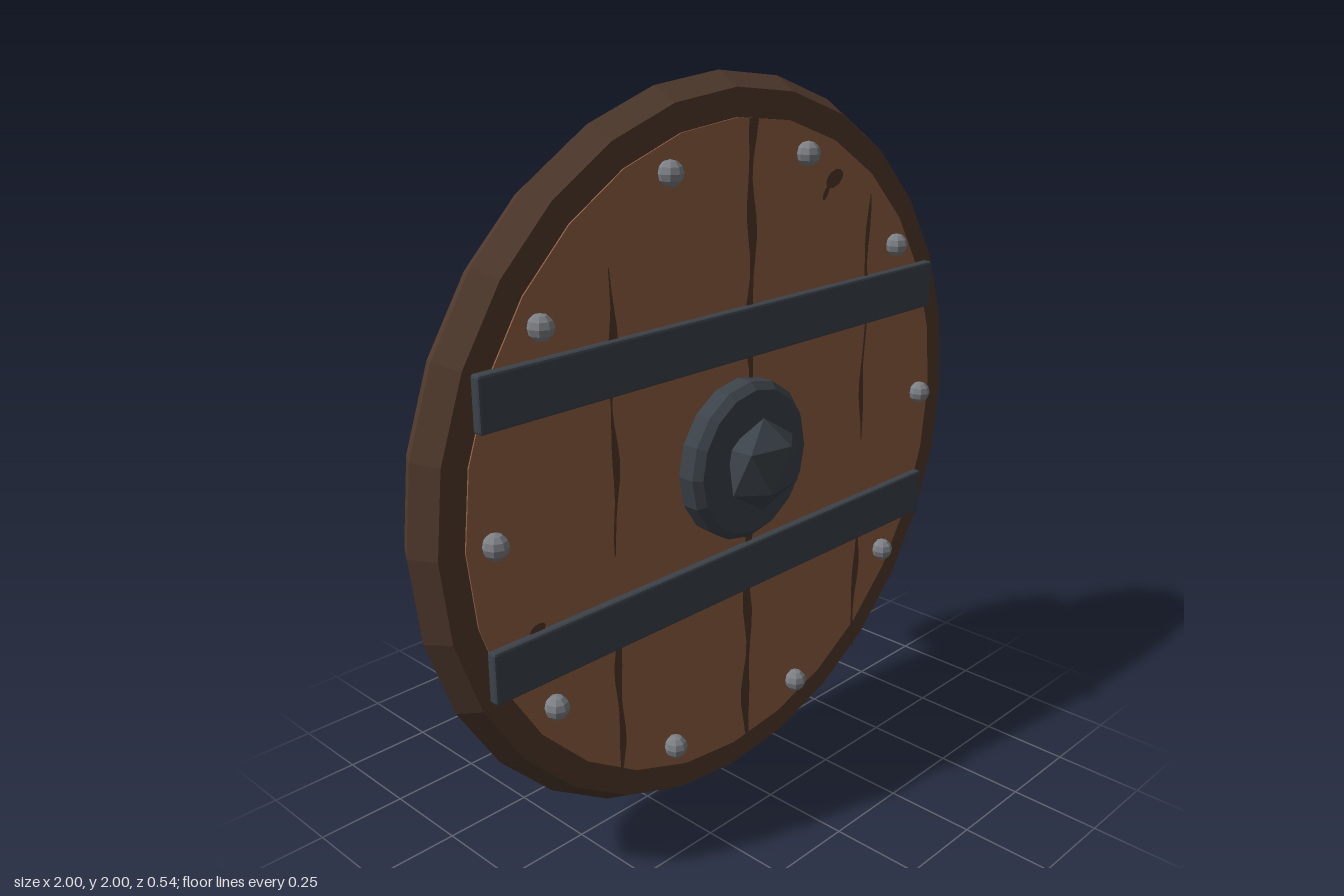
import * as THREE from 'three';
import { RoundedBoxGeometry } from 'three/addons/geometries/RoundedBoxGeometry.js';
import { ConvexGeometry } from 'three/addons/geometries/ConvexGeometry.js';

const mat = (name, color, extra = {}) => {
  const m = new THREE.MeshStandardMaterial({ color, flatShading: true, ...extra });
  m.name = name;
  return m;
};

export function createModel() {
  const wood = mat('wood', 0x905e43);
  const darkWood = mat('dark wood', 0x4f392c);
  const crackPaint = mat('crack brown', 0x4f3628, { side: THREE.DoubleSide });
  const steel = mat('dark steel', 0x3b4249);
  const rivetSteel = mat('rivet steel', 0x7c8085);
  const leather = mat('leather', 0x6a4731);

  const group = new THREE.Group();
  const add = (name, geometry, material, x = 0, y = 0, z = 0) => {
    const mesh = new THREE.Mesh(geometry, material);
    mesh.name = name;
    mesh.position.set(x, y, z);
    group.add(mesh);
    return mesh;
  };
  // Box with a small chamfer, given by its extents
  const box = (name, material, [x0, x1], [y0, y1], [z0, z1], r = 0.01) =>
    add(name, new RoundedBoxGeometry(x1 - x0, y1 - y0, z1 - z0, 1, r), material,
      (x0 + x1) / 2, (y0 + y1) / 2, (z0 + z1) / 2);

  // Board and six-sided rim
  add('board', new THREE.CylinderGeometry(0.89, 0.89, 0.14, 28).rotateX(Math.PI / 2), wood, 0, 1, 0.034);
  add('rim', new THREE.TorusGeometry(0.925, 0.075, 6, 28).rotateZ(Math.PI / 2), darkWood, 0, 1, 0.035);

  // Wavering plank gaps and knots, on both faces
  const crackShape = (x, y0, y1, w, taper) => {
    const left = [], right = [], n = Math.max(6, Math.round((y1 - y0) / 0.05));
    for (let i = 0; i <= n; i++) {
      const t = i / n, y = y0 + (y1 - y0) * t;
      const drift = 0.006 * Math.sin(y * 17 + x * 9);
      const half = (w / 2) * (0.75 + 0.35 * Math.sin(y * 23 + x * 40)) *
        (taper ? 0.15 + 0.85 * Math.sin(Math.PI * t) : 1);
      left.push(new THREE.Vector2(x + drift - half, y));
      right.unshift(new THREE.Vector2(x + drift + half, y));
    }
    return new THREE.Shape([...left, ...right]);
  };
  const knotShape = (x, y, rx, ry, turn) =>
    new THREE.Shape(new THREE.EllipseCurve(x, y, rx, ry, 0, Math.PI * 2, false, turn).getPoints(10).slice(0, 10));
  const marks = [
    crackShape(0.05, 0.12, 1.885, 0.034, false),
    crackShape(-0.44, 1.2, 1.58, 0.03, true),
    crackShape(-0.44, 0.85, 1.29, 0.024, true),
    crackShape(-0.44, 0.2, 0.68, 0.032, true),
    crackShape(0.545, 1.25, 1.64, 0.026, true),
    crackShape(0.545, 0.9, 1.3, 0.022, true),
    crackShape(0.545, 0.21, 0.7, 0.028, true),
    knotShape(0.385, 1.7, 0.038, 0.023, 0.35),
    knotShape(0.35, 1.665, 0.022, 0.009, 1.0),
    knotShape(-0.7, 0.74, 0.025, 0.015, 0.2),
  ];
  add('frontCracks', new THREE.ShapeGeometry(marks), crackPaint, 0, 0, 0.107);
  add('backCracks', new THREE.ShapeGeometry(marks), crackPaint, 0, 0, -0.039);

  // Front straps and back battens
  for (const side of [1, -1]) {
    const span = (a, b) => (side > 0 ? [1 + a, 1 + b] : [1 - b, 1 - a]);
    const where = side > 0 ? 'upper' : 'lower';
    const bottomShift = side > 0 ? 0 : 0.01;
    box(where + 'Strap', steel, [-0.845, 0.845],
      span(0.27 - bottomShift * 0.5, 0.408 - bottomShift * 0.5), [0.085, 0.126], 0.007);
    box(where + 'Batten', darkWood, [-0.79, 0.785], span(0.232, 0.392), [-0.097, -0.025], 0.012);
    // Bracket joining the grip to the batten
    box(where + 'Bracket', steel, [0.54, 0.642], span(0.232, 0.335), [-0.175, -0.09], 0.008);
  }

  // Ring of ten rivets
  for (let i = 0; i < 10; i++) {
    const a = (i / 10) * Math.PI * 2;
    add('rivet', new THREE.SphereGeometry(0.033, 8, 6), rivetSteel,
      0.82 * Math.cos(a), 1 + 0.82 * Math.sin(a), 0.121);
  }

  // Boss: chamfered disc with a flattened twenty-sided stud
  const bossProfile = [[0, 0.09], [0.2, 0.09], [0.22, 0.108], [0.22, 0.156], [0.2, 0.176], [0, 0.176]]
    .map(([r, y]) => new THREE.Vector2(r, y));
  add('bossDisc', new THREE.LatheGeometry(bossProfile, 16).rotateX(Math.PI / 2), steel, 0, 1, 0);
  const R = 0.13, points = [new THREE.Vector3(0, R, 0), new THREE.Vector3(0, -R, 0)];
  for (let i = 0; i < 10; i++) {
    const a = (i / 10) * Math.PI * 2;
    points.push(new THREE.Vector3(0.894 * R * Math.cos(a), (i % 2 ? -1 : 1) * 0.447 * R, 0.894 * R * 0.6 * Math.sin(a)));
  }
  add('bossStud', new ConvexGeometry(points), steel, 0, 1, 0.203);

  // Arm plate with wrapped band, corner studs and diamond buckle
  box('armPlate', darkWood, [-0.335, 0.105], [0.664, 1.336], [-0.15, -0.06], 0.015);
  box('armBand', wood, [-0.398, 0.165], [0.92, 1.085], [-0.196, -0.07], 0.012);
  for (const x of [-0.31, 0.08])
    for (const y of [0.715, 1.285])
      add('plateStud', new THREE.SphereGeometry(0.024, 8, 6), steel, x, y, -0.16);
  add('buckle', new THREE.TorusGeometry(0.086, 0.017, 4, 4), steel, -0.117, 1, -0.208);

  // Grip wrapped in a coil of cord
  const gx = 0.592, gz = -0.19;
  add('grip', new THREE.CylinderGeometry(0.058, 0.058, 0.672, 10), wood, gx, 1.004, gz);
  const turns = 10, coil = [];
  for (let i = 0; i <= turns * 12; i++) {
    const a = (i / 12) * Math.PI * 2;
    coil.push(new THREE.Vector3(0.064 * Math.cos(a), 0.47 * (i / (turns * 12) - 0.5), 0.064 * Math.sin(a)));
  }
  const smoothLeather = leather;
  smoothLeather.flatShading = false;
  add('gripCord', new THREE.TubeGeometry(new THREE.CatmullRomCurve3(coil), turns * 16, 0.021, 8), smoothLeather, gx, 0.99, gz);

  return group;
}
